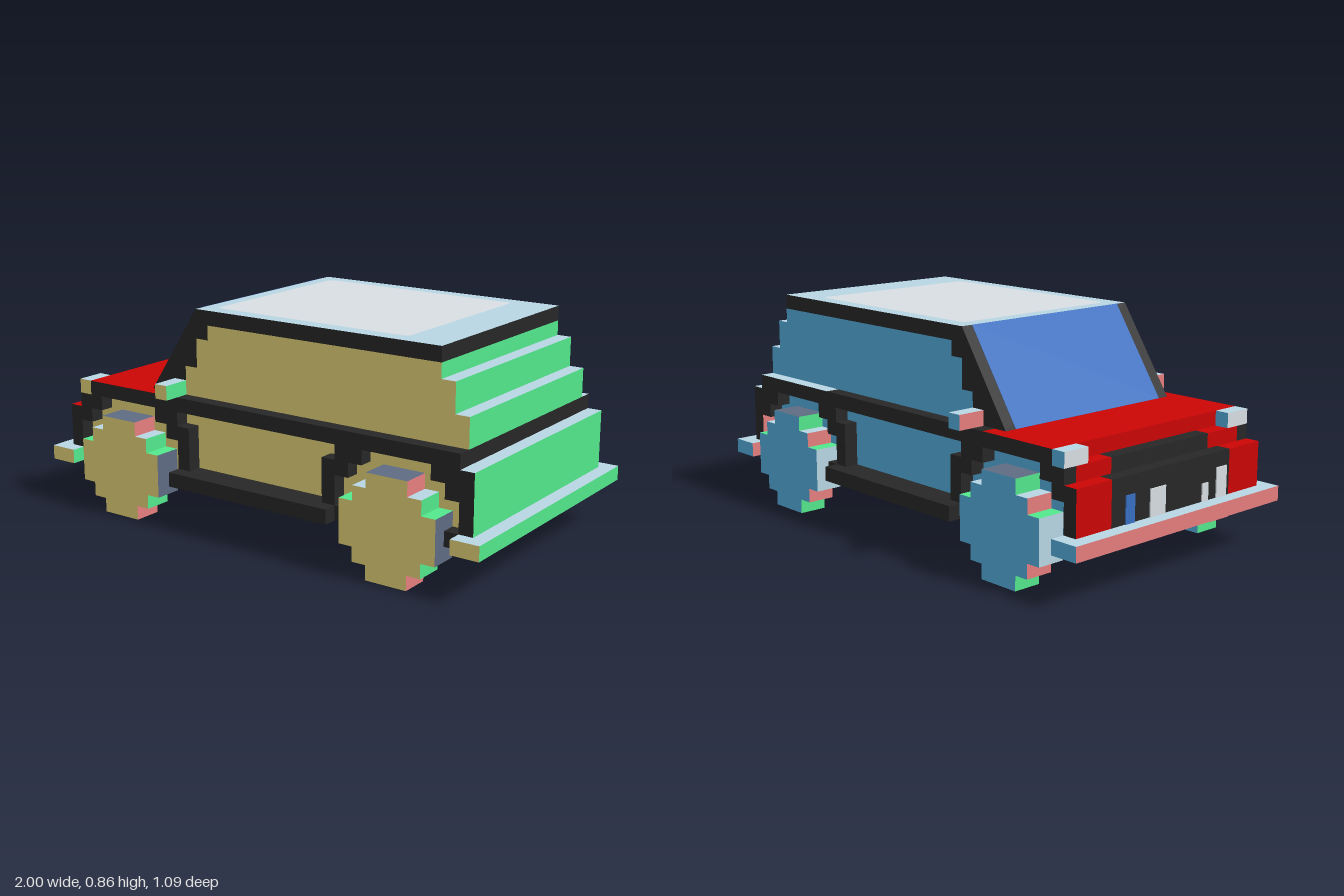
import * as THREE from 'three';

const V = 2 / 35; // one voxel

const mat = (name, color) => {
  const m = new THREE.MeshStandardMaterial({ color });
  m.name = name;
  return m;
};

export function createModel() {
  const car = new THREE.Group();
  car.name = 'car';

  const tan = mat('tan', 0xe6d578);
  const blue = mat('side blue', 0x55aede);
  const green = mat('green', 0x54ea8e);
  const pink = mat('pink', 0xe67e7e);
  const pale = mat('pale blue', 0xb8d6e4);
  const slate = mat('slate', 0x5f6b82);
  const black = mat('black', 0x272727);
  const red = mat('red', 0xcc0505);
  const glass = mat('glass blue', 0x386fc2);
  const panel = mat('light grey', 0xd8dfe2);

  // Face order: +x, -x, +y, -y, +z, -z
  const plain = [green, pink, pale, slate, tan, blue];

  // Box from voxel bounds: x runs 0..35, z is centred
  function box(name, x0, x1, y0, y1, z0, z1, m = plain, parent = car) {
    const g = new THREE.BoxGeometry((x1 - x0) * V, (y1 - y0) * V, (z1 - z0) * V);
    const mesh = new THREE.Mesh(g, m);
    mesh.name = name;
    mesh.position.set(((x0 + x1) / 2 - 17.5) * V, ((y0 + y1) / 2) * V, ((z0 + z1) / 2) * V);
    parent.add(mesh);
    return mesh;
  }
  // Same box on both sides of the car
  function pair(name, x0, x1, y0, y1, z0, z1, m) {
    box(name, x0, x1, y0, y1, z0, z1, m);
    box(name, x0, x1, y0, y1, -z1, -z0, m);
  }

  // Bumpers, floor and driveline
  box('frontBumper', 0, 2, 3, 4, -9.5, 9.5);
  box('rearBumper', 33, 35, 3, 4, -9.5, 9.5);
  box('floor', 2, 33, 3, 4, -7.5, 7.5);
  box('driveShaft', 7, 28, 2, 3, -0.5, 0.5);
  for (const x of [6, 28]) box('axle', x, x + 1, 2, 3, -7.5, 7.5);

  // Lower body
  const trim = [black, black, black, slate, black, black];
  box('bodyCore', 3, 33, 4, 8, -7.5, 7.5);
  box('rearPanel', 33, 34, 4, 8, -8.5, 8.5, [green, pink, pale, slate, black, black]);
  pair('sill', 11, 24, 3, 4, 7.5, 9.5, trim);
  pair('sillEnd', 24, 25, 3, 4, 7.5, 8.5, trim);
  pair('rearSkirt', 32, 33, 3, 4, 7.5, 8.5, trim);

  // Belt line, with a pale ledge on one side
  box('belt', 9, 25, 8, 9, -8.5, 8.5, black);
  box('beltRear', 25, 33, 8, 9, -7.5, 8.5, black);
  box('beltLedge', 25, 33, 8, 9, -8.5, -7.5, [black, black, pale, black, black, black]);
  box('hood', 3, 9, 8, 9, -8.5, 8.5, [black, red, red, black, black, black]);

  // Stepped wheel arches: column, bottom row, top row
  const arch = [[3, 7, 8], [9, 7, 8], [10, 6, 8], [11, 4, 7], [2, 6, 8]];
  for (const [c, y0, y1] of arch) {
    pair('frontArch', c, c + 1, y0, y1, 7.5, 8.5, black);
    pair('rearArch', 34 - c, 35 - c, y0, y1, 7.5, 8.5, black);
  }

  // Stepped nose: grille, red corners, headlights
  box('lowerGrille', 1, 2, 4, 7, -5.5, 5.5, black);
  pair('noseCorner', 1, 2, 4, 7, 5.5, 8.5, [black, red, red, black, black, black]);
  box('upperGrille', 2, 3, 4, 8, -4.5, 4.5, black);
  pair('innerNose', 2, 3, 4, 8, 4.5, 7.5, [black, red, red, black, tan, blue]);
  pair('headlight', 2, 3, 8, 9, 6.5, 8.5, [green, panel, pale, slate, tan, blue]);
  // Grille inserts: centre z, width, height, colour
  for (const [z, w, h, m] of [[-3.9, 0.8, 1.8, glass], [-1.4, 1.4, 1.8, panel], [3.1, 0.6, 1.2, panel], [4.7, 1, 2, panel]])
    box('grilleInsert', 0.92, 1, 4, 4 + h, z - w / 2, z + w / 2, m);

  // Cabin in stepped layers
  for (const [x0, x1, y0, y1] of [[10, 33, 9, 10], [11, 33, 10, 11], [12, 32, 11, 13], [13, 31, 13, 14]])
    box('cabin', x0, x1, y0, y1, -7.5, 7.5);
  box('roof', 12, 31, 14, 15, -7.5, 7.5, [black, black, pale, black, black, black]);

  // Rounded roof panel, flush with the roof
  const s = new THREE.Shape();
  const hx = 7.5 * V, hz = 6.45 * V, r = 0.35 * V;
  for (const [cx, cz, a] of [[hx - r, -hz + r, -0.5], [hx - r, hz - r, 0], [-hx + r, hz - r, 0.5], [-hx + r, -hz + r, 1]])
    s.absarc(cx, cz, r, a * Math.PI, (a + 0.5) * Math.PI, false);
  const roofPanel = new THREE.Mesh(new THREE.ShapeGeometry(s), panel);
  roofPanel.name = 'roofPanel';
  roofPanel.rotation.x = -Math.PI / 2;
  roofPanel.position.set((20.5 - 17.5) * V, 15 * V + 0.001, 0);
  car.add(roofPanel);

  // Sloped windscreen frame, stepped where it meets the cabin
  const outline = [[8, 9], [10, 9], [10, 10], [11, 10], [11, 11], [12, 11], [12, 13], [13, 13], [13, 14], [12, 14], [12, 15]];
  const frameShape = new THREE.Shape(outline.map(([x, y]) => new THREE.Vector2((x - 17.5) * V, y * V)));
  const frame = new THREE.Mesh(new THREE.ExtrudeGeometry(frameShape, { depth: 15 * V, bevelEnabled: false }), black);
  frame.name = 'windscreenFrame';
  frame.position.z = -7.5 * V;
  car.add(frame);
  const screen = new THREE.Mesh(new THREE.BoxGeometry(Math.hypot(4, 6) * V, 0.002, 13.3 * V), glass);
  screen.name = 'windscreen';
  screen.position.set((10 - 17.5) * V, 12 * V, 0);
  screen.rotation.z = Math.atan2(6, 4);
  car.add(screen);

  pair('sideMirror', 10, 11, 9, 10, 7.5, 9.5);

  // Wheels from three crossed blocks, turned so their face colours differ
  const blocks = [
    [3, 7, [pink, green, slate, pale, tan, blue]],
    [5, 5, plain],
    [7, 3, [slate, pale, green, pink, tan, blue]],
  ];
  for (const cx of [6.5, 28.5]) {
    for (const side of [-1, 1]) {
      const wheel = new THREE.Group();
      wheel.name = (cx < 10 ? 'front' : 'rear') + 'Wheel';
      for (const [w, h, m] of blocks)
        box('wheelBlock', cx - w / 2, cx + w / 2, 3.5 - h / 2, 3.5 + h / 2, side * 8.5 - 1, side * 8.5 + 1, m, wheel);
      car.add(wheel);
    }
  }

  return car;
}
